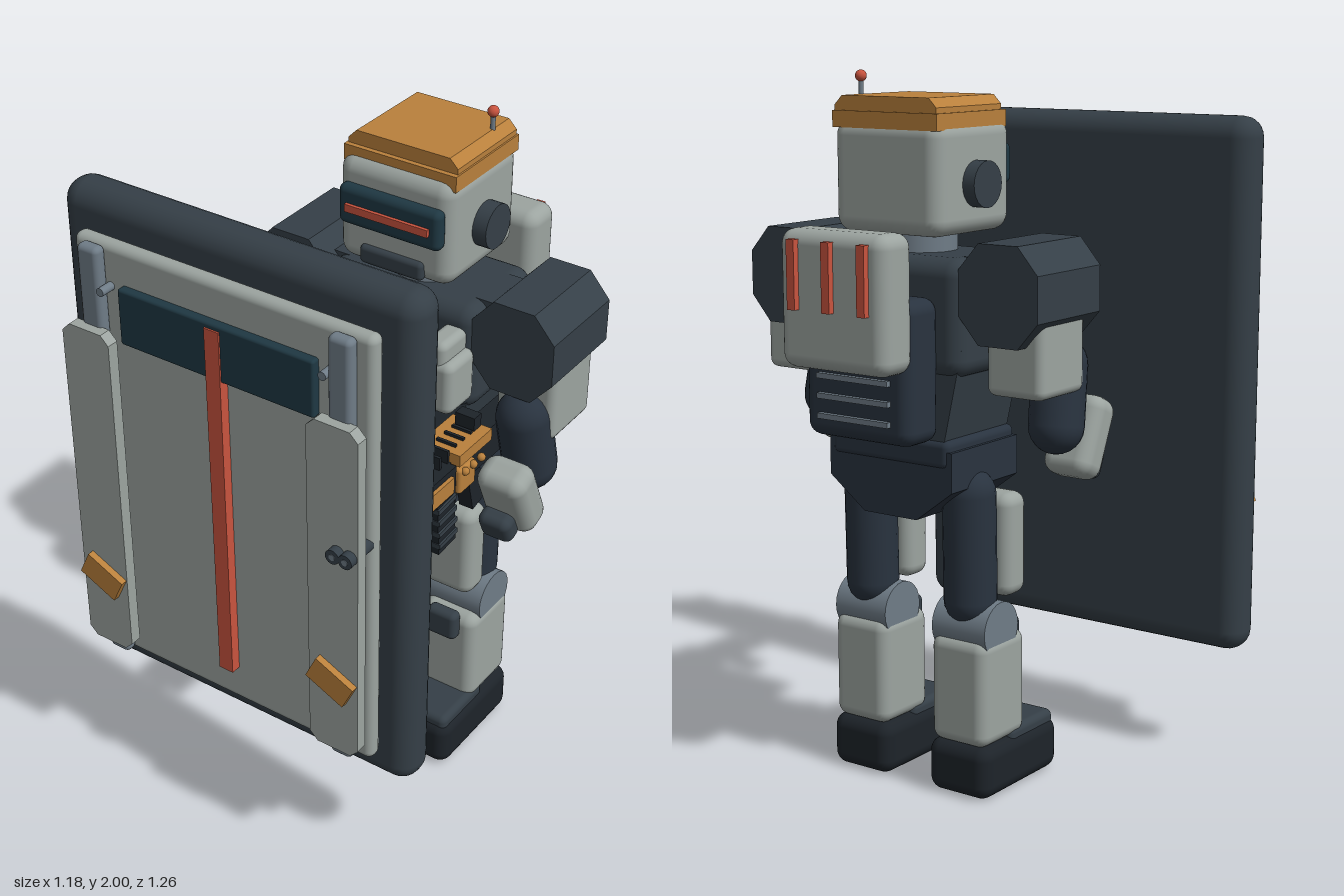
import * as THREE from 'three';
import { RoundedBoxGeometry } from 'three/addons/geometries/RoundedBoxGeometry.js';

const mats = {};
const mat = (c) => (mats[c] ??= new THREE.MeshStandardMaterial({ color: c }));
const LIGHT = 0x9ca4a0, DARK = 0x353f47, NAVY = 0x29333f, BLACK = 0x1d2329, STEEL = 0x6f7c87,
  ORANGE = 0xb9803c, RED = 0xc9543f, GLASS = 0x1f3843;

function add(parent, name, geo, color, x = 0, y = 0, z = 0) {
  const m = new THREE.Mesh(geo, mat(color));
  m.name = name;
  m.position.set(x, y, z);
  parent.add(m);
  return m;
}

// Box given by its limits on each axis; r rounds the edges
function box(parent, name, color, [x0, x1], [y0, y1], [z0, z1], r = 0) {
  const w = x1 - x0, h = y1 - y0, d = z1 - z0;
  const geo = r ? new RoundedBoxGeometry(w, h, d, 3, Math.min(r, w / 2.01, h / 2.01, d / 2.01))
    : new THREE.BoxGeometry(w, h, d);
  return add(parent, name, geo, color, (x0 + x1) / 2, (y0 + y1) / 2, (z0 + z1) / 2);
}

// Cylinder along a chosen axis
function rod(parent, name, color, r, len, axis, x, y, z) {
  const g = new THREE.CylinderGeometry(r, r, len, 24);
  if (axis === 'x') g.rotateZ(Math.PI / 2);
  if (axis === 'z') g.rotateX(Math.PI / 2);
  return add(parent, name, g, color, x, y, z);
}

// Front outline extruded between two depths
function slab(parent, name, color, pts, z0, z1) {
  const s = new THREE.Shape(pts.map(([x, y]) => new THREE.Vector2(x, y)));
  return add(parent, name, new THREE.ExtrudeGeometry(s, { depth: z1 - z0, bevelEnabled: false }), color, 0, 0, z0);
}

// Rectangle outline with cut corners
const cutRect = (x0, x1, y0, y1, c, d = c) => [[x0 + c, y0], [x1 - c, y0], [x1, y0 + d], [x1, y1 - d],
  [x1 - c, y1], [x0 + c, y1], [x0, y1 - d], [x0, y0 + d]];

function capsule(parent, name, color, r, a, b) {
  const p = new THREE.Vector3(...a), q = new THREE.Vector3(...b), dir = q.clone().sub(p);
  const m = add(parent, name, new THREE.CapsuleGeometry(r, dir.length(), 6, 20), color);
  m.position.copy(p).add(q).multiplyScalar(0.5);
  m.quaternion.setFromUnitVectors(new THREE.Vector3(0, 1, 0), dir.normalize());
  return m;
}

function group(parent, name, x = 0) {
  const g = new THREE.Group();
  g.name = name;
  g.position.x = x;
  parent.add(g);
  return g;
}

function buildShield(root) {
  const g = group(root, 'shield');
  box(g, 'shieldSlab', DARK, [-0.59, 0.525], [0.33, 1.87], [0.355, 0.485], 0.06);
  box(g, 'frontPlate', LIGHT, [-0.5, 0.435], [0.43, 1.77], [0.485, 0.535], 0.022);
  box(g, 'viewWindow', GLASS, [-0.34, 0.275], [1.5, 1.665], [0.53, 0.56], 0.008);
  box(g, 'centreStripe', RED, [-0.056, -0.01], [0.55, 1.65], [0.53, 0.565]);
  for (const x of [-0.425, 0.357]) {
    box(g, 'rod', STEEL, [x - 0.035, x + 0.035], [0.44, 1.765], [0.532, 0.572], 0.016);
    slab(g, 'sideRail', LIGHT, cutRect(x - 0.078, x + 0.078, 0.49, 1.535, 0.025), 0.565, 0.6);
    const patch = box(g, 'orangePatch', ORANGE, [x - 0.065, x + 0.065], [0.695, 0.775], [0.598, 0.62]);
    patch.rotation.z = -0.44;
    const bx = x < 0 ? -0.38 : 0.315;
    rod(g, 'bolt', STEEL, 0.012, 0.06, 'z', bx, 1.65, 0.55);
  }
  for (const x of [0.373, 0.412]) {
    rod(g, 'knob', DARK, 0.021, 0.1, 'z', x, 1.16, 0.575);
    rod(g, 'knobCentre', STEEL, 0.009, 0.004, 'z', x, 1.16, 0.625);
  }
}

function buildHead(body) {
  const g = group(body, 'head');
  rod(g, 'neck', STEEL, 0.1, 0.12, 'y', 0, 1.54, -0.22);
  box(g, 'skull', LIGHT, [-0.182, 0.178], [1.57, 1.875], [-0.385, -0.045], 0.045);
  slab(g, 'cap', ORANGE, [[-0.17, 1.855], [0.17, 1.855], [0.17, 1.91], [0.145, 1.935], [-0.145, 1.935], [-0.17, 1.91]], -0.375, -0.085);
  box(g, 'capBand', ORANGE, [-0.175, 0.175], [1.85, 1.895], [-0.38, -0.07]);
  rod(g, 'earDisc', DARK, 0.063, 0.44, 'x', 0, 1.705, -0.215);
  box(g, 'visor', GLASS, [-0.16, 0.16], [1.69, 1.805], [-0.06, -0.016], 0.02);
  box(g, 'visorLight', RED, [-0.13, 0.13], [1.735, 1.757], [-0.03, -0.006]);
  box(g, 'chinGuard', DARK, [-0.1, 0.1], [1.58, 1.635], [-0.06, -0.03], 0.014);
  rod(g, 'antenna', STEEL, 0.007, 0.06, 'y', 0.142, 1.955, -0.297);
  add(g, 'antennaTip', new THREE.SphereGeometry(0.016, 16, 12), RED, 0.142, 1.984, -0.297);
}

function buildTorso(body) {
  const g = group(body, 'torso');
  box(g, 'chest', DARK, [-0.25, 0.25], [1.2, 1.52], [-0.385, -0.06], 0.05);
  slab(g, 'abdomen', DARK, [[-0.17, 0.97], [0.17, 0.97], [0.24, 1.28], [-0.24, 1.28]], -0.365, -0.075);
  box(g, 'chestPlate', LIGHT, [-0.25, 0.25], [1.25, 1.41], [-0.08, 0.05], 0.025);
  for (const s of [-1, 1]) {
    const x = s * 0.19;
    box(g, 'chestStrap', LIGHT, [x - 0.035, x + 0.035], [1.3, 1.465], [-0.08, 0.045], 0.022);
  }
  box(g, 'belt', NAVY, [-0.2, 0.2], [0.95, 1.03], [-0.375, -0.06], 0.02);
  slab(g, 'pelvis', NAVY, [[-0.09, 0.8], [0.09, 0.8], [0.21, 0.89], [0.21, 1], [-0.21, 1], [-0.21, 0.89]], -0.37, -0.065);
  // Back packs with vents and red bars
  box(g, 'lowerPack', NAVY, [-0.18, 0.18], [1.03, 1.42], [-0.515, -0.37], 0.04);
  for (let i = 0; i < 3; i++) box(g, 'vent', STEEL, [-0.12, 0.12], [1.085 + i * 0.055, 1.1 + i * 0.055], [-0.53, -0.5]);
  box(g, 'upperPack', LIGHT, [-0.18, 0.18], [1.23, 1.6], [-0.612, -0.48], 0.04);
  for (const x of [-0.117, 0, 0.117]) box(g, 'packBar', RED, [x - 0.013, x + 0.013], [1.39, 1.575], [-0.63, -0.6]);
}

function buildArm(body, s) {
  const g = group(body, s > 0 ? 'leftArm' : 'rightArm');
  const span = (a, b) => (s > 0 ? [a, b] : [-b, -a]);
  slab(g, 'shoulderPad', DARK, cutRect(...span(0.235, 0.485), 1.3, 1.568, 0.063, 0.072), -0.37, -0.075);
  box(g, 'shoulderJoint', DARK, span(0.2, 0.3), [1.36, 1.52], [-0.3, -0.14]);
  box(g, 'upperArm', LIGHT, span(0.29, 0.472), [1.16, 1.45], [-0.33, -0.12], 0.025);
  capsule(g, 'elbow', NAVY, 0.077, [s * 0.385, 1.225, -0.115], [s * 0.395, 1.06, -0.145]);
  const f = box(g, 'forearm', LIGHT, span(0.325, 0.475), [0.9, 1.13], [-0.095, 0.015], 0.04);
  f.rotation.x = 0.42;
  const h = box(g, 'hand', DARK, span(0.34, 0.44), [0.89, 0.98], [-0.03, 0.035], 0.025);
  h.rotation.x = 0.42;
}

function buildLeg(body, s) {
  const g = group(body, s > 0 ? 'leftLeg' : 'rightLeg', s * 0.173);
  capsule(g, 'thigh', NAVY, 0.075, [0, 0.86, -0.24], [0, 0.56, -0.235]);
  box(g, 'thighPlate', LIGHT, [-0.085, 0.085], [0.555, 0.85], [-0.175, -0.075], 0.035);
  rod(g, 'knee', STEEL, 0.08, 0.18, 'x', 0, 0.48, -0.215);
  box(g, 'shin', LIGHT, [-0.094, 0.094], [0.15, 0.46], [-0.305, -0.095], 0.035);
  box(g, 'kneePad', DARK, [-0.05, 0.05], [0.385, 0.48], [-0.105, -0.06], 0.018);
  box(g, 'foot', BLACK, [-0.104, 0.104], [0, 0.155], [-0.31, 0.058], 0.04);
  box(g, 'toeCap', DARK, [-0.092, 0.092], [0.125, 0.177], [-0.17, 0.045], 0.02);
}

function buildRifle(root) {
  const g = group(root, 'rifle', 0.39);
  box(g, 'receiver', BLACK, [-0.035, 0.035], [1.1, 1.2], [-0.2, 0.19]);
  box(g, 'stockBar', BLACK, [-0.02, 0.02], [1.12, 1.18], [-0.3, -0.18]);
  box(g, 'buttPlate', BLACK, [-0.03, 0.03], [1.08, 1.2], [-0.305, -0.28]);
  box(g, 'handguard', BLACK, [-0.055, 0.055], [1.115, 1.2], [0.16, 0.34]);
  box(g, 'topCover', ORANGE, [-0.062, 0.062], [1.195, 1.23], [-0.005, 0.155]);
  rod(g, 'barrel', BLACK, 0.02, 0.1, 'z', 0, 1.15, 0.31);
  for (const s of [-1, 1]) {
    box(g, 'guardPanel', ORANGE, [s * 0.058 - 0.008, s * 0.058 + 0.008], [1.133, 1.182], [0.185, 0.34]);
    box(g, 'sidePanel', ORANGE, [s * 0.045 - 0.018, s * 0.045 + 0.018], [1.1, 1.18], [0.07, 0.15], 0.01);
    for (let i = 0; i < 3; i++) add(g, 'sideStud', new THREE.SphereGeometry(0.012, 10, 8), ORANGE, s * 0.065, 1.17, 0.05 + i * 0.04);
  }
  for (let i = 0; i < 9; i++) box(g, 'railTooth', BLACK, [-0.03, 0.03], [1.19, 1.238], [0.005 + i * 0.038, 0.014 + i * 0.038]);
  box(g, 'rearSight', BLACK, [-0.03, 0.03], [1.2, 1.27], [0.0, 0.035]);
  // Ribbed magazine, slightly tilted
  const m = box(g, 'magazine', BLACK, [-0.027, 0.027], [0.915, 1.11], [0.113, 0.197]);
  m.rotation.x = 0.08;
  for (let i = 0; i < 4; i++) box(m, 'magazineRib', DARK, [-0.033, 0.033], [-0.075 + i * 0.04, -0.06 + i * 0.04], [-0.044, 0.044]);
  const grip = box(g, 'grip', BLACK, [-0.022, 0.022], [0.96, 1.11], [-0.03, 0.03]);
  grip.rotation.x = 0.25;
  const guard = add(g, 'triggerGuard', new THREE.TorusGeometry(0.038, 0.006, 6, 16), BLACK, 0, 1.07, 0.065);
  guard.rotation.y = Math.PI / 2;
}

export function createModel() {
  const root = new THREE.Group();
  root.name = 'shieldRobot';
  buildShield(root);
  const body = group(root, 'body', 0.1);
  buildHead(body);
  buildTorso(body);
  for (const s of [-1, 1]) {
    buildArm(body, s);
    buildLeg(body, s);
  }
  buildRifle(root);
  return root;
}
